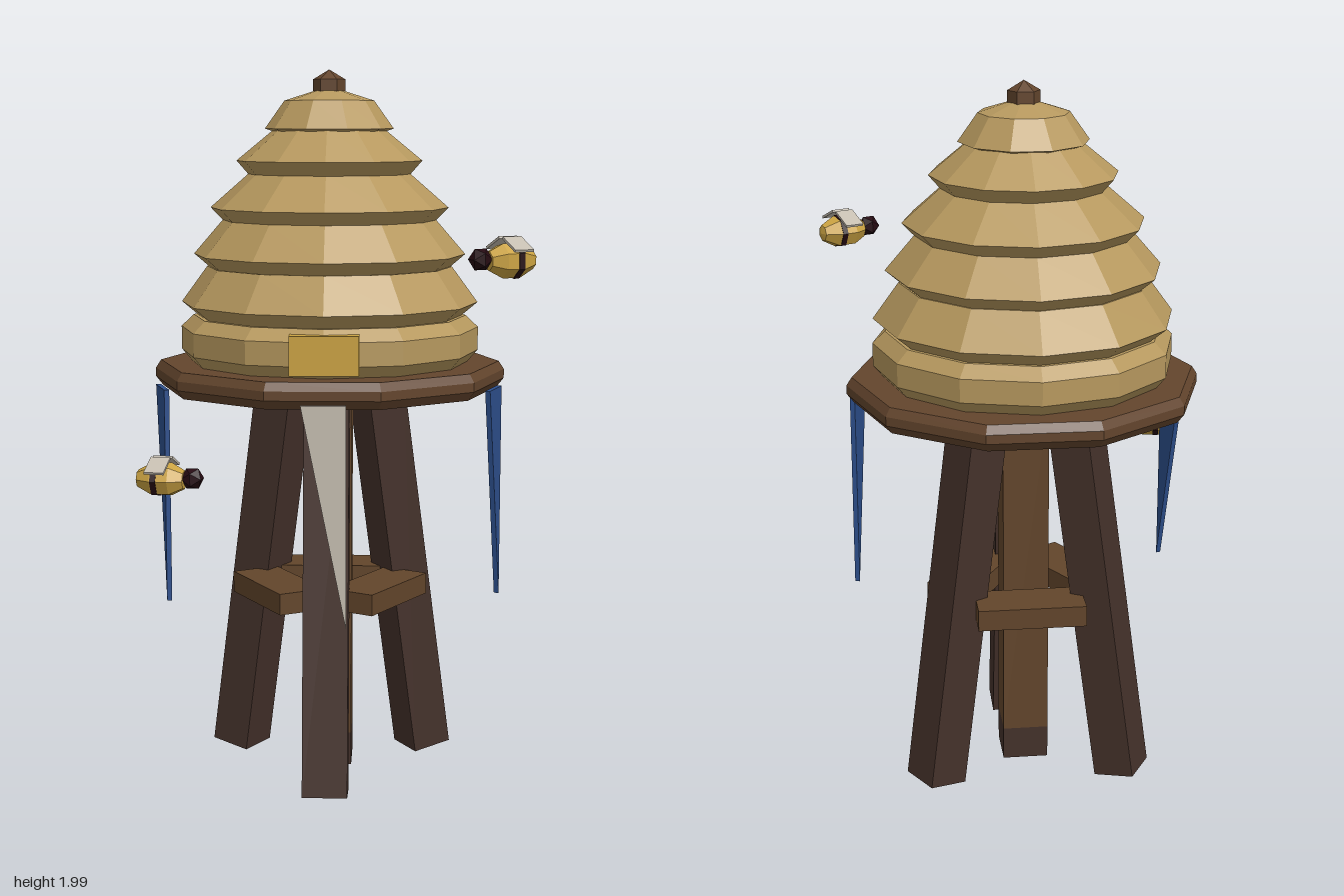
import * as THREE from 'three';

const mat = (name, color) => {
  const m = new THREE.MeshStandardMaterial({ color, flatShading: true });
  m.name = name;
  return m;
};

export function createModel() {
  const straw = mat('straw', 0xb6985e);
  const wood = mat('plankBrown', 0x63452d);
  const darkWood = mat('darkWood', 0x44312a);
  const postWood = mat('postWood', 0x62452b);
  const gold = mat('gold', 0xcba342);
  const blue = mat('blueCloth', 0x2d4f8c);
  const pale = mat('paleCloth', 0xc6beb1);
  const dark = mat('beeDark', 0x260b12);

  const root = new THREE.Group();
  root.name = 'beehive';
  const stand = new THREE.Group();
  stand.name = 'hiveOnStand';
  stand.position.set(-0.025, 0, -0.025);
  root.add(stand);

  const add = (parent, name, geo, material, x = 0, y = 0, z = 0) => {
    const m = new THREE.Mesh(geo, material);
    m.name = name;
    m.position.set(x, y, z);
    parent.add(m);
    return m;
  };
  // profile is [radius, height] from bottom to top
  const lathe = (profile, sides, start = 0) =>
    new THREE.LatheGeometry(profile.map(([r, y]) => new THREE.Vector2(r, y)), sides, start);

  // Woven straw dome: each tier flares out, then tucks under
  const tiers = [
    [[0, 1.185], [0.39, 1.185], [0.42, 1.22], [0.42, 1.285], [0.385, 1.318], [0, 1.318]],
    [[0, 1.315], [0.37, 1.315], [0.418, 1.355], [0.345, 1.455], [0, 1.455]],
    [[0, 1.45], [0.335, 1.45], [0.382, 1.49], [0.3, 1.585], [0, 1.585]],
    [[0, 1.58], [0.295, 1.58], [0.334, 1.62], [0.225, 1.715], [0, 1.715]],
    [[0, 1.71], [0.225, 1.71], [0.26, 1.75], [0.15, 1.84], [0, 1.84]],
  ];
  tiers.forEach((p, i) => add(stand, `strawTier${i + 1}`, lathe(p, 12), straw));
  add(stand, 'strawCap',
    lathe([[0, 1.825], [0.14, 1.825], [0.18, 1.838], [0.125, 1.915], [0.04, 1.942], [0, 1.942]], 10, Math.PI / 2), straw);
  add(stand, 'finial', lathe([[0.045, 1.93], [0.045, 1.973], [0, 2]], 6, Math.PI / 2), wood);

  // Round platform with bevelled rim
  add(stand, 'platform',
    lathe([[0, 1.115], [0.475, 1.115], [0.495, 1.14], [0.495, 1.165], [0.48, 1.188], [0, 1.188]], 10, Math.PI / 2), wood);

  // Entrance board
  add(stand, 'entranceBoard', new THREE.BoxGeometry(0.185, 0.105, 0.06), gold, 0.002, 1.252, 0.397);

  // Central post with a dark foot
  add(stand, 'post', new THREE.BoxGeometry(0.13, 1.02, 0.138), postWood, 0, 0.62, 0);
  add(stand, 'postFoot', new THREE.BoxGeometry(0.13, 0.1, 0.138), darkWood, 0, 0.064, 0);

  // Three splayed legs with braces between them
  for (let i = 0; i < 3; i++) {
    const legArm = new THREE.Group();
    legArm.name = `legArm${i + 1}`;
    legArm.rotation.y = (i * 2 * Math.PI) / 3;
    const leg = add(legArm, 'leg', new THREE.BoxGeometry(0.125, 1.12, 0.118), darkWood, 0, 0.568, 0.232);
    leg.rotation.x = -Math.atan(0.165 / 1.12);
    stand.add(legArm);

    const braceArm = new THREE.Group();
    braceArm.name = `braceArm${i + 1}`;
    braceArm.rotation.y = Math.PI / 3 + (i * 2 * Math.PI) / 3;
    add(braceArm, 'brace', new THREE.BoxGeometry(0.305, 0.06, 0.14), postWood, 0, 0.536, 0.165);
    stand.add(braceArm);
  }

  // Hanging pennants
  const flag = new THREE.Shape([[-0.057, 1.13], [0.062, 0.535], [0.062, 1.13]].map(([x, y]) => new THREE.Vector2(x, y)));
  const flagGeo = new THREE.ExtrudeGeometry(flag, { depth: 0.014, bevelEnabled: false });
  flagGeo.translate(0, 0, 0.475);
  [['frontPennant', 0, pale], ['leftPennant', 1, blue], ['rightPennant', -1, blue]].forEach(([name, k, m]) => {
    add(stand, name, flagGeo, m).rotation.y = k * 0.4 * Math.PI;
  });

  // Bees, facing +x before they are turned
  const bodyGeo = lathe([[0, -0.072], [0.024, -0.066], [0.046, -0.025], [0.046, 0.025], [0.026, 0.062], [0, 0.066]], 7);
  const bandGeo = lathe([[0.04, -0.008], [0.048, -0.008], [0.048, 0.008], [0.04, 0.008]], 7);
  const makeBee = (name, x, y, z, yaw) => {
    const bee = new THREE.Group();
    bee.name = name;
    bee.position.set(x, y, z);
    bee.rotation.y = yaw;
    add(bee, 'body', bodyGeo, gold).rotation.z = -Math.PI / 2;
    add(bee, 'stripe', bandGeo, dark, -0.014).rotation.z = -Math.PI / 2;
    add(bee, 'head', new THREE.IcosahedronGeometry(0.032, 0), dark, 0.085, 0.005, 0);
    for (const s of [1, -1]) {
      const wing = add(bee, s > 0 ? 'rightWing' : 'leftWing', new THREE.BoxGeometry(0.054, 0.007, 0.074), pale, 0, 0.044, s * 0.043);
      wing.rotation.x = s * 0.42;
    }
    root.add(bee);
  };
  makeBee('leftBee', 0.457, 1.505, 0.413, -2.69);
  makeBee('rightBee', -0.461, 0.91, 0.335, -0.165);

  return root;
}
